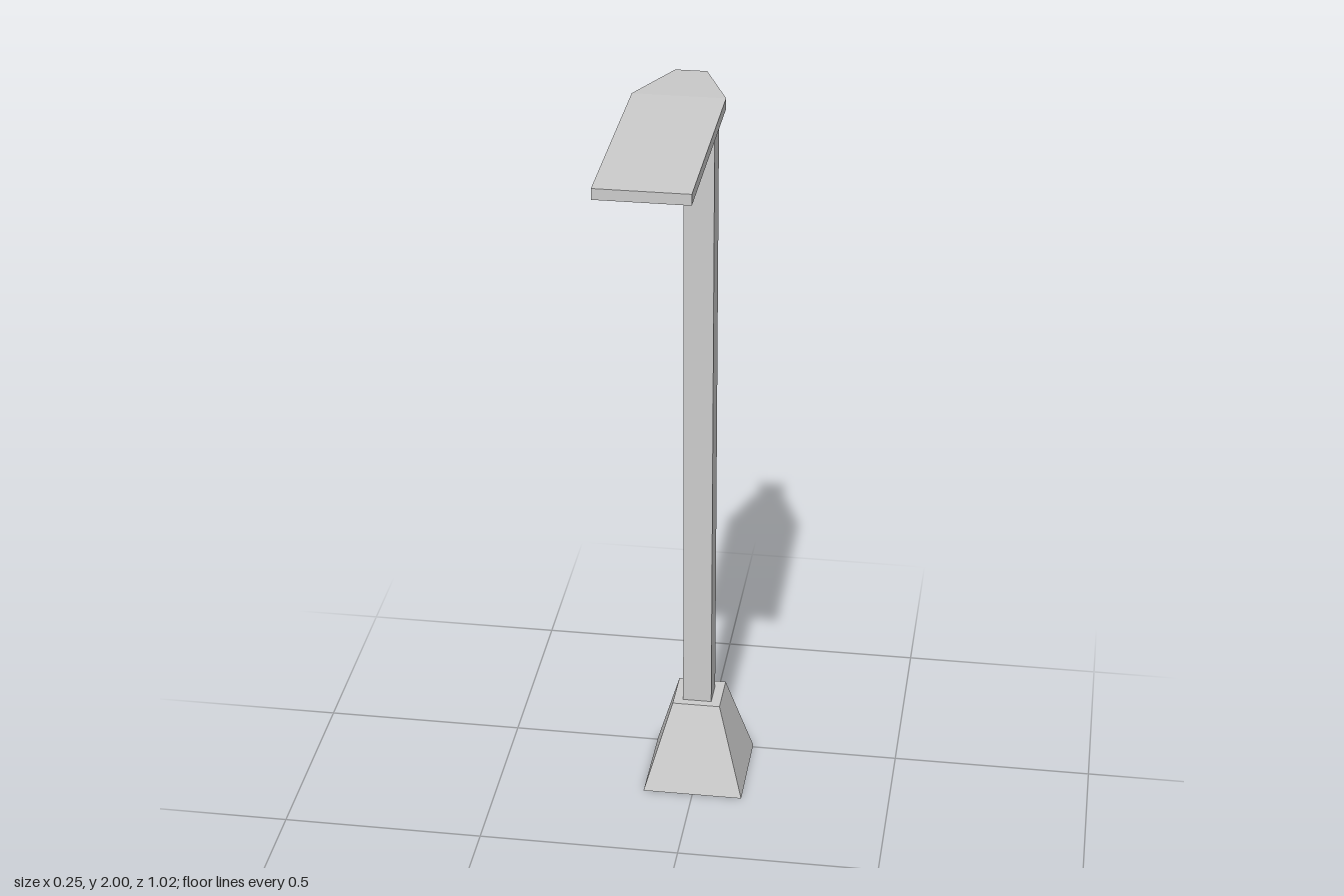
import * as THREE from 'three';

const material = new THREE.MeshStandardMaterial({ color: 0xcccccc, flatShading: true });

// A rectangular section: half width, back/top edge [z, y], front/bottom edge [z, y]
const section = (w, [z0, y0], [z1, y1]) => [
  [w, y0, z0], [-w, y0, z0], [-w, y1, z1], [w, y1, z1],
];

// Joins four-cornered sections into a flat-faced skin, capped where asked
function loft(name, sections, capStart, capEnd) {
  const positions = [];
  const quad = (a, b, c, d) => positions.push(...[a, b, c, a, c, d].flat());
  for (let s = 0; s < sections.length - 1; s++) {
    const a = sections[s], b = sections[s + 1];
    for (let i = 0; i < 4; i++) {
      const j = (i + 1) % 4;
      quad(a[i], a[j], b[j], b[i]);
    }
  }
  if (capStart) quad(...[...sections[0]].reverse());
  if (capEnd) quad(...sections[sections.length - 1]);
  const geometry = new THREE.BufferGeometry();
  geometry.setAttribute('position', new THREE.Float32BufferAttribute(positions, 3));
  geometry.computeVertexNormals();
  const mesh = new THREE.Mesh(geometry, material);
  mesh.name = name;
  return mesh;
}

export function createModel() {
  const group = new THREE.Group();
  group.name = 'streetLamp';

  // Shared sections from the foot of the pole to the tip of the lamp
  const poleFoot = section(0.036, [-0.421, 0.23], [-0.346, 0.23]);
  const poleTop = section(0.036, [-0.421, 1.803], [-0.346, 1.782]);
  const armTop = section(0.036, [-0.213, 1.985], [-0.16, 1.935]);
  const lampBack = section(0.104, [-0.02, 2], [-0.02, 1.975]);
  const lampTip = section(0.104, [0.51, 2], [0.51, 1.975]);

  group.add(
    // Tapered square foot
    loft('base', [
      section(0.126, [-0.51, 0], [-0.259, 0]),
      section(0.06, [-0.445, 0.23], [-0.325, 0.23]),
    ], true, true),
    loft('pole', [poleFoot, poleTop], false, false),
    // Angled arm
    loft('arm', [poleTop, armTop], false, false),
    // Flaring neck and flat lamp panel
    loft('lampNeck', [armTop, lampBack], false, false),
    loft('lampPanel', [lampBack, lampTip], false, true),
  );
  return group;
}
